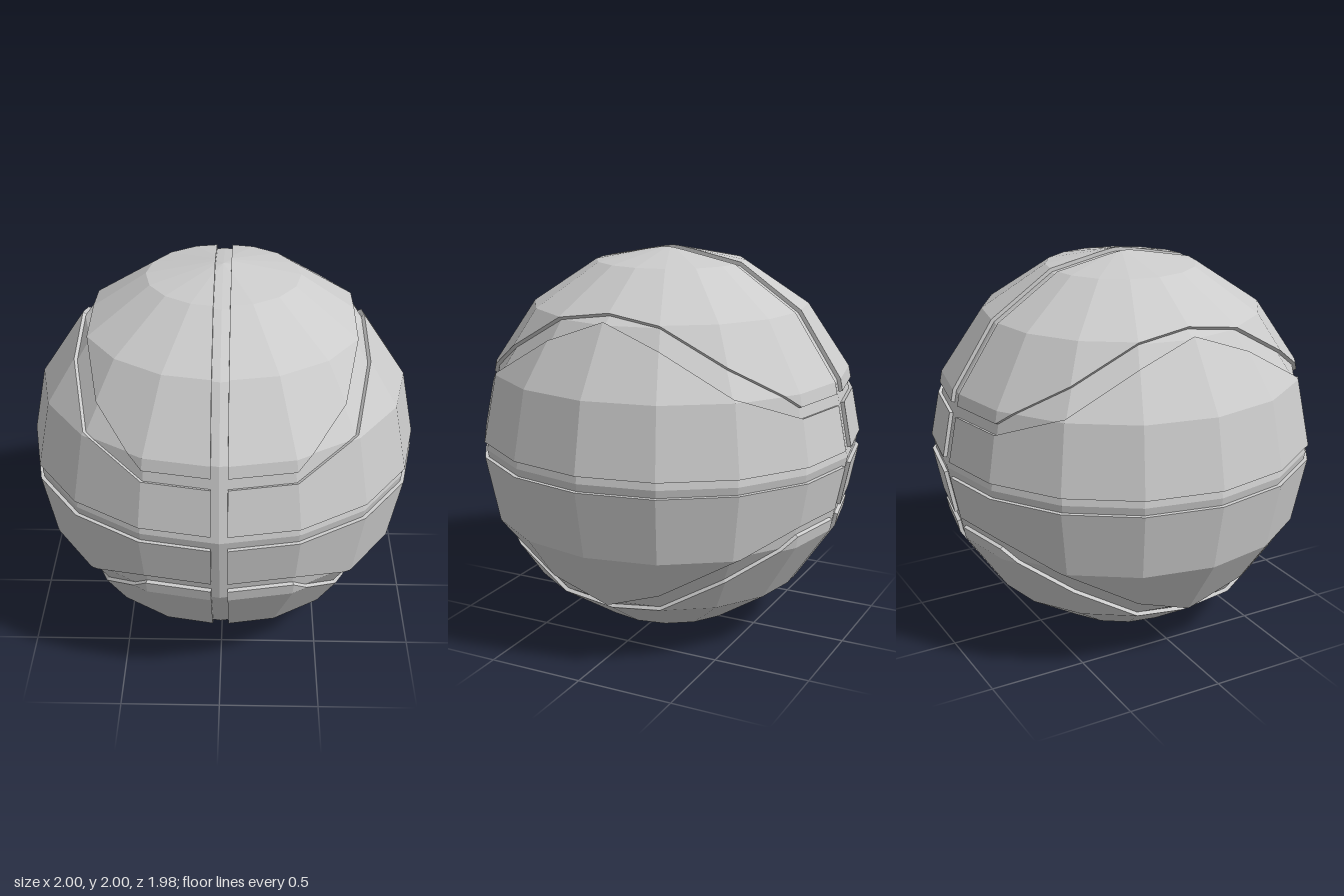
import * as THREE from 'three';

const R = 1.0075;      // ball radius
const FLOOR = 0.98;    // groove floor, relative to the surface
const GAP = 0.04;      // half width of the straight grooves
const STEP = Math.PI / 8;

// Heights above the equator of the curved groove's edges, from front to side
const UPPER_EDGE = [0.325, 0.325, 0.53, 0.71, 0.75];
const LOWER_EDGE = [0.27, 0.27, 0.4, 0.605, 0.715];

const ringY = (j) => R * Math.sin(j * STEP);
const ringR = (j) => R * Math.cos(j * STEP);

// Point on meridian k (0 = front, 4 = side)
const onMeridian = (k, r, y) =>
  new THREE.Vector3(r * Math.sin(k * STEP), y, r * Math.cos(k * STEP));

// Point on the faceted surface at meridian k and height y
function surfacePoint(k, y) {
  let j = 0;
  while (j < 3 && ringY(j + 1) < y) j++;
  const t = (y - ringY(j)) / (ringY(j + 1) - ringY(j));
  return onMeridian(k, THREE.MathUtils.lerp(ringR(j), ringR(j + 1), t), y);
}

// Plane through the centre and one straight run of a groove edge, facing up
function edgePlane(heights, k) {
  const n = surfacePoint(k, heights[k]).cross(surfacePoint(k + 1, heights[k + 1])).normalize();
  return new THREE.Plane(n, 0);
}

// Keep the part of a polygon on the positive side of a plane
function clip(poly, plane) {
  const out = [];
  poly.forEach((a, i) => {
    const b = poly[(i + 1) % poly.length];
    const da = plane.distanceToPoint(a), db = plane.distanceToPoint(b);
    if (da >= 0) out.push(a);
    if (da * db < 0) out.push(a.clone().lerp(b, da / (da - db)));
  });
  return out;
}

// One raised panel: clipped facets plus walls down into the grooves
function panelGeometry(isCap, sx, sy) {
  const pos = [];
  const tri = (a, b, c, sz) => {
    const pts = sx * sy * sz > 0 ? [a, b, c] : [a, c, b];
    for (const p of pts) pos.push(p.x * sx, p.y * sy, p.z * sz);
  };
  for (let k = 0; k < 4; k++) {
    const cuts = [new THREE.Plane(new THREE.Vector3(1, 0, 0), -GAP)];
    if (isCap) cuts.push(edgePlane(UPPER_EDGE, k));
    else cuts.push(new THREE.Plane(new THREE.Vector3(0, 1, 0), -GAP), edgePlane(LOWER_EDGE, k).negate());

    for (let j = 0; j < 4; j++) {
      const quad = [[k, j], [k + 1, j], [k + 1, j + 1], [k, j + 1]]
        .map(([m, n]) => onMeridian(m, ringR(n), ringY(n)));
      const poly = cuts.reduce(clip, quad);
      if (poly.length < 3) continue;

      for (const sz of [1, -1]) {
        for (let i = 1; i < poly.length - 1; i++) tri(poly[0], poly[i], poly[i + 1], sz);
        poly.forEach((a, i) => {
          const b = poly[(i + 1) % poly.length];
          const isCut = cuts.some((c) =>
            Math.abs(c.distanceToPoint(a)) < 1e-6 && Math.abs(c.distanceToPoint(b)) < 1e-6);
          if (!isCut) return;
          const a2 = a.clone().multiplyScalar(FLOOR - 0.01);
          const b2 = b.clone().multiplyScalar(FLOOR - 0.01);
          tri(b, a, a2, sz);
          tri(b, a2, b2, sz);
        });
      }
    }
  }
  const geo = new THREE.BufferGeometry();
  geo.setAttribute('position', new THREE.Float32BufferAttribute(pos, 3));
  geo.computeVertexNormals();
  return geo;
}

export function createModel() {
  const model = new THREE.Group();
  model.name = 'ball';
  const material = new THREE.MeshStandardMaterial({ color: 0xcccccc, flatShading: true });

  const add = (name, geometry) => {
    const mesh = new THREE.Mesh(geometry, material);
    mesh.name = name;
    mesh.position.y = 1;
    model.add(mesh);
  };

  // Inner ball that forms the groove floors
  add('grooveFloor', new THREE.SphereGeometry(R * FLOOR, 16, 8));

  // Eight raised panels: caps and bands, mirrored left/right and up/down
  for (const sx of [1, -1]) {
    for (const sy of [1, -1]) {
      const side = (sy > 0 ? 'upper' : 'lower') + (sx > 0 ? 'Left' : 'Right');
      add(side + 'CapPanel', panelGeometry(true, sx, sy));
      add(side + 'BandPanel', panelGeometry(false, sx, sy));
    }
  }
  return model;
}
